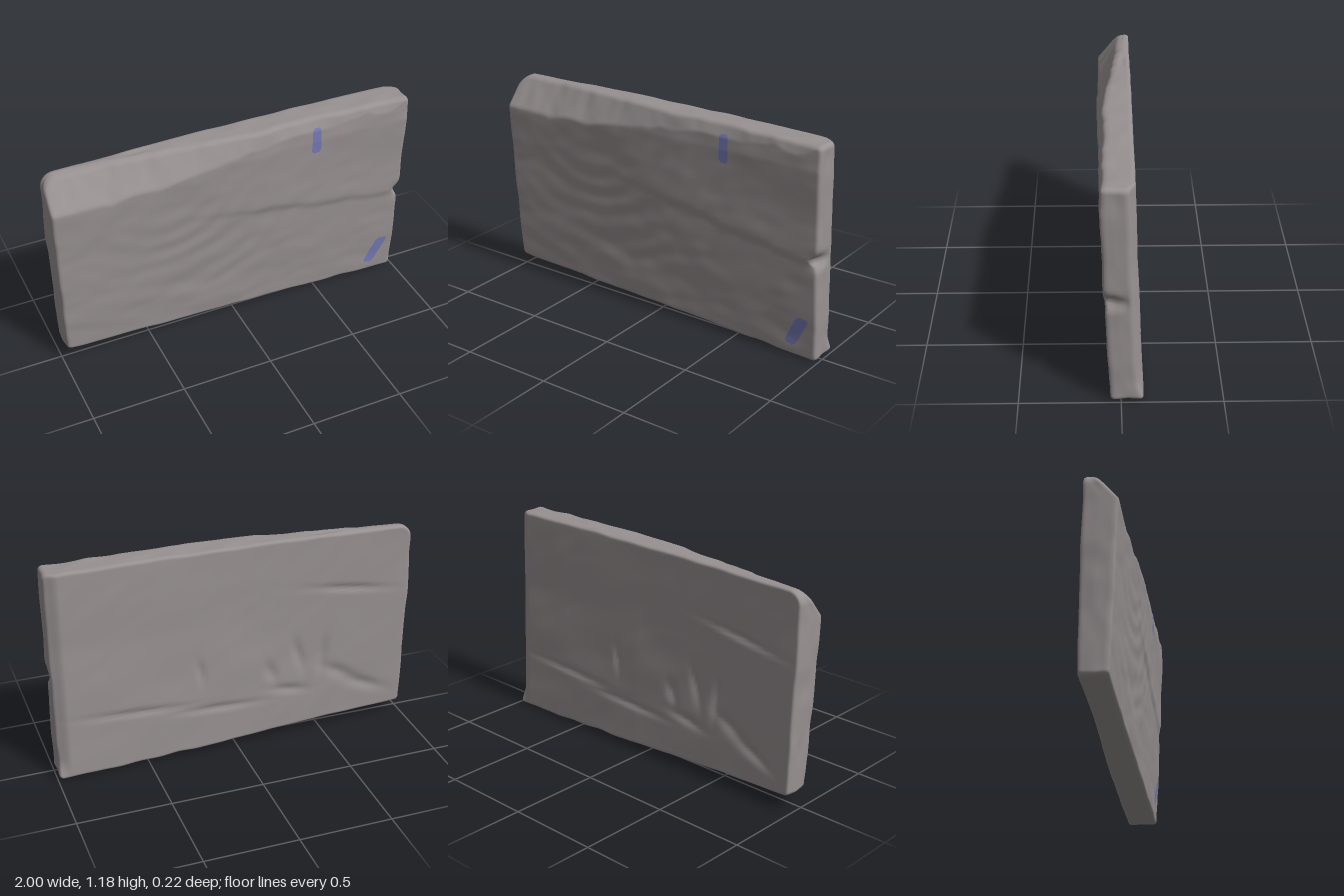
import * as THREE from 'three';
import { mergeVertices } from 'three/addons/utils/BufferGeometryUtils.js';

const { lerp, clamp, smoothstep } = THREE.MathUtils;
const gauss = (d, s) => Math.exp(-((d / s) ** 2));

// Piecewise linear curve through [position, value] pairs
function curve(points, t) {
  for (let i = 1; i < points.length; i++) {
    const [a, va] = points[i - 1], [b, vb] = points[i];
    if (t <= b) return lerp(va, vb, clamp((t - a) / (b - a), 0, 1));
  }
  return points[points.length - 1][1];
}

// Smooth seeded value noise in -1..1
function hash(i, j) {
  const s = Math.sin(i * 127.1 + j * 311.7) * 43758.5453;
  return (s - Math.floor(s)) * 2 - 1;
}
function noise(x, y) {
  const i = Math.floor(x), j = Math.floor(y);
  const u = smoothstep(x - i, 0, 1), v = smoothstep(y - j, 0, 1);
  return lerp(lerp(hash(i, j), hash(i + 1, j), u), lerp(hash(i, j + 1), hash(i + 1, j + 1), u), v);
}

// Elongated dent: centre, angle, half length, half width
function dent(x, y, cx, cy, angle, length, width) {
  const c = Math.cos(angle), s = Math.sin(angle);
  return gauss((x - cx) * c + (y - cy) * s, length) * gauss((y - cy) * c - (x - cx) * s, width);
}

// Cleft front face: leaning plane, broken upper edge, ridge and ripples
const LEAN = [[0, 0.05], [0.1, 0.056], [0.55, 0.08], [0.85, 0.092], [1.05, 0.1], [1.18, 0.092]];
const TOP_EDGE = [[-1, -0.03], [-0.6, 0.0], [-0.2, 0.05], [0.1, 0.075], [1, 0.088]];
function frontZ(x, y) {
  let z = curve(LEAN, y) + 0.01 * gauss(x + 0.1, 0.45) * smoothstep(y, 0.3, 1);
  z += 0.003 * noise(x * 3 + y * 2, y * 6) + 0.002 * noise(x * 8 - y * 9, y * 13 + x * 4);
  // curved ripples and the long ridge falling to the right
  const ripple = Math.hypot(x + 0.45, y - 1.05);
  z += 0.002 * Math.sin(ripple * 50 + 2 * noise(x * 4, y * 4)) * gauss(x + 0.2, 0.5) * gauss(y - 0.6, 0.3);
  const ridge = y - (0.72 - 0.17 * x + 0.012 * noise(x * 9, 3));
  z += 0.008 * smoothstep(x, -0.5, 0.3) * smoothstep(ridge, -0.02, 0.01) * (1 - smoothstep(ridge, 0.0, 0.22));
  z -= 0.025 * gauss(x - 1, 0.05) * gauss(y - 0.57, 0.04);
  const slope = curve([[-1, 0.75], [0, 0.4], [1, 0.3]], x);
  const broken = curve(TOP_EDGE, x) + (1.175 - y) * slope
    + 0.007 * noise(x * 7, y * 5) + 0.003 * noise(x * 19, y * 12);
  return Math.min(z, broken);
}

// Back face: leaning plane with chipped hollows low down
const CHIPS = [
  [-0.2, 0.42, 1.2, 0.06, 0.025], [-0.36, 0.5, 1.3, 0.09, 0.022], [-0.5, 0.47, 1.7, 0.1, 0.025],
  [-0.6, 0.35, 0.5, 0.1, 0.03], [-0.3, 0.3, 0.2, 0.1, 0.022], [0.1, 0.27, 0.05, 0.2, 0.015],
  [0.55, 0.33, 0.05, 0.25, 0.014], [0.2, 0.5, 1.4, 0.07, 0.014], [-0.75, 0.25, 0.4, 0.12, 0.03],
  [-0.65, 0.85, 0.15, 0.2, 0.014],
];
function backZ(x, y) {
  const foot = curve([[-1, -0.09], [-0.4, -0.09], [0.05, -0.108], [1, -0.11]], x);
  const head = curve([[-1, -0.074], [1, -0.062]], x);
  let z = lerp(foot, head, y / 1.18);
  z += 0.003 * noise(x * 3 + 20, y * 4) + 0.0015 * noise(x * 9 + y * 7, y * 8 + 9);
  for (const chip of CHIPS) z += 0.013 * dent(x, y, ...chip);
  // wide bevel along the right edge
  return z + 0.032 * smoothstep(x, 0.92, 1.0) * smoothstep(y, 0.0, 0.12);
}

// Rounding of the face edges, by distance from the outline
function edgeDrop(d, r) {
  return d >= r ? 0 : r * (1 - Math.sqrt(1 - (1 - d / r) ** 2));
}

const spread = (t) => lerp(t, Math.sin(t * Math.PI / 2), 0.75);

function slabGeometry() {
  const g = new THREE.BoxGeometry(2, 2, 2, 150, 90, 10);
  g.deleteAttribute('normal');
  g.deleteAttribute('uv');
  const p = g.attributes.position;
  for (let i = 0; i < p.count; i++) {
    const w = p.getZ(i);
    let a = spread(p.getX(i)), b = spread(p.getY(i)) * 0.57;
    const d = Math.min(1 - Math.abs(a), 0.57 - Math.abs(b));
    // round the outline corners, most at the upper left
    const r = a < 0 && b > 0 ? 0.075 : 0.025;
    const ca = Math.abs(a) - (1 - r), cb = Math.abs(b) - (0.57 - r);
    if (ca > 0 && cb > 0) {
      const k = Math.max(ca, cb) / Math.hypot(ca, cb);
      a = Math.sign(a) * (1 - r + ca * k);
      b = Math.sign(b) * (0.57 - r + cb * k);
    }
    // fit to the uneven outline
    const v = (b + 0.57) / 1.14;
    const bottom = 0.05 - 0.04 * a + 0.004 * noise(a * 9, 40 + w);
    const top = curve([[-1, 1.165], [-0.2, 1.18], [0.5, 1.182], [1, 1.172]], a) + 0.003 * noise(a * 8, 60 + w);
    const y = lerp(bottom, top, v);
    const left = lerp(-0.98, -1.0, smoothstep(y, 0.05, 0.9));
    let x = lerp(left, 0.99, (a + 1) / 2);
    x += 0.004 * noise(y * 9, a * 2 + w) * smoothstep(Math.abs(a), 0.8, 1);
    // notch in the right edge
    x -= 0.04 * gauss(y - 0.57, 0.03) * smoothstep(a, 0.9, 1) * (w + 1) / 2;
    const zf = frontZ(x, y) - edgeDrop(d, 0.02);
    const zb = backZ(x, y) + edgeDrop(d, 0.015);
    p.setXYZ(i, x, y, lerp(zb, zf, (w + 1) / 2));
  }
  const merged = mergeVertices(g, 1e-5);
  merged.computeVertexNormals();
  return merged;
}

// Painted mark: a four-cornered sheet laid on the front face
function markGeometry([tl, tr, bl, br]) {
  const g = new THREE.PlaneGeometry(1, 1, 8, 24);
  const p = g.attributes.position;
  for (let i = 0; i < p.count; i++) {
    const v = p.getY(i) + 0.5;
    // narrow the ends a little
    const u = p.getX(i) * (1 - 0.35 * smoothstep(Math.abs(v - 0.5), 0.4, 0.5)) + 0.5;
    const x = lerp(lerp(bl[0], br[0], u), lerp(tl[0], tr[0], u), v);
    const y = lerp(lerp(bl[1], br[1], u), lerp(tl[1], tr[1], u), v);
    p.setXYZ(i, x, y, frontZ(x, y) + 0.003);
  }
  g.computeVertexNormals();
  return g;
}

export function createModel() {
  const stone = new THREE.MeshStandardMaterial({ color: 0x989192 });
  stone.name = 'greyStone';
  const paint = new THREE.MeshStandardMaterial({ color: 0x747ab4 });
  paint.name = 'bluePaint';

  const group = new THREE.Group();
  group.name = 'stoneSlab';
  const add = (name, geometry, material) => {
    const mesh = new THREE.Mesh(geometry, material);
    mesh.name = name;
    group.add(mesh);
  };
  add('slab', slabGeometry(), stone);
  add('upperMark', markGeometry([[0.415, 1.13], [0.465, 1.13], [0.415, 0.98], [0.468, 0.98]]), paint);
  add('lowerMark', markGeometry([[0.88, 0.245], [0.95, 0.235], [0.805, 0.085], [0.865, 0.07]]), paint);
  return group;
}
